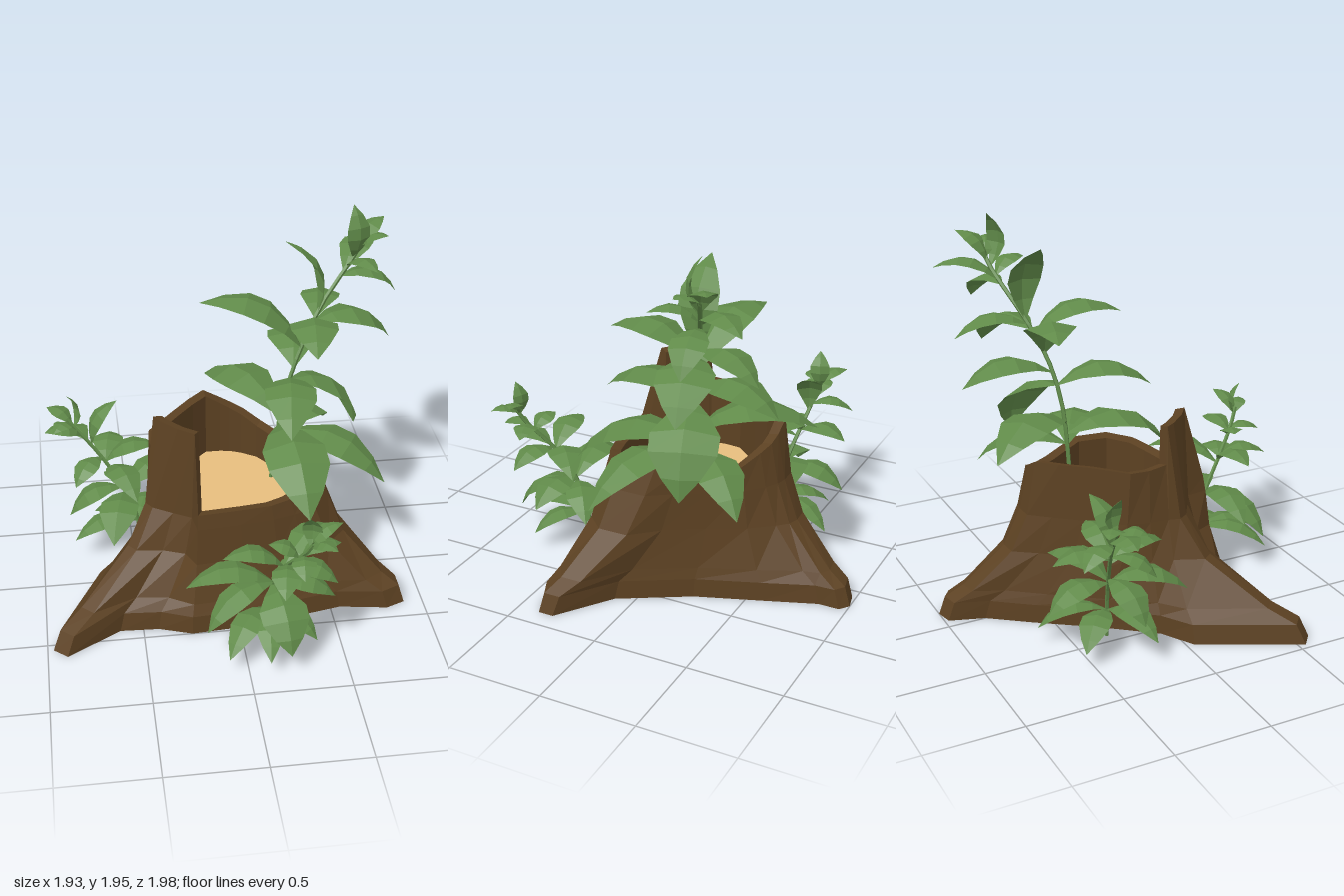
import * as THREE from 'three';

const bark = new THREE.MeshStandardMaterial({ color: 0x5c4122, flatShading: true });
bark.name = 'bark brown';
const wood = new THREE.MeshStandardMaterial({ color: 0xebc180, flatShading: true });
wood.name = 'cut wood tan';
const green = new THREE.MeshStandardMaterial({ color: 0x608a49, flatShading: true, side: THREE.DoubleSide });
green.name = 'leaf green';

// Stations around the stump: ground x, z, then rim x, z, y
const STATIONS = [
  [-0.97, 0.54, -0.39, 0.05, 1.07], [-0.90, 0.60, -0.36, 0.10, 1.07], [-0.62, 0.43, -0.28, 0.19, 1.07],
  [-0.42, 0.44, -0.20, 0.25, 1.07], [-0.25, 0.50, -0.20, 0.37, 0.66], [0.02, 0.48, 0.02, 0.35, 0.66],
  [0.30, 0.43, 0.18, 0.33, 0.66], [0.55, 0.38, 0.28, 0.30, 0.67], [0.80, 0.42, 0.38, 0.25, 0.69],
  [0.90, 0.38, 0.47, 0.13, 0.71], [0.90, 0.30, 0.47, -0.06, 0.72], [0.62, 0.10, 0.41, -0.17, 0.71],
  [0.42, -0.25, 0.33, -0.30, 0.70], [0.30, -0.58, 0.24, -0.43, 0.71], [0.20, -0.85, 0.15, -0.49, 0.76],
  [0.20, -0.96, 0.08, -0.52, 0.79], [0.15, -1.00, 0.02, -0.53, 0.82], [0.06, -0.98, -0.07, -0.53, 0.87],
  [0.00, -0.80, -0.16, -0.44, 0.87], [-0.15, -0.60, -0.26, -0.32, 0.87], [-0.36, -0.30, -0.40, -0.16, 0.86],
  [-0.55, -0.06, -0.41, -0.06, 0.86], [-0.72, 0.04, -0.40, 0.04, 0.87],
];
// Root flare: inward fraction, height
const FLARE = [[0, 0.01], [0.07, 0.11], [0.27, 0.17], [0.72, 0.38], [0.9, 0.58]];
const BASE_Y = 0.01, FLOOR_Y = 0.5;
const inset = (x, z) => [x * 0.88, -0.08 + (z + 0.08) * 0.88];

function skin(rings) {
  const n = rings[0].length, pos = [], idx = [];
  rings.forEach(r => r.forEach(p => pos.push(...p)));
  for (let k = 0; k < rings.length - 1; k++) {
    for (let j = 0; j < n; j++) {
      const a = k * n + j, b = k * n + (j + 1) % n;
      idx.push(a, b, b + n, a, b + n, a + n);
    }
  }
  const g = new THREE.BufferGeometry();
  g.setAttribute('position', new THREE.Float32BufferAttribute(pos, 3));
  g.setIndex(idx);
  g.computeVertexNormals();
  return g;
}

function flat(points, y, up) {
  const s = up ? -1 : 1;
  const g = new THREE.ShapeGeometry(new THREE.Shape(points.map(([x, z]) => new THREE.Vector2(x, s * z))));
  return g.rotateX(s * Math.PI / 2).translate(0, y, 0);
}

function add(group, name, geometry, material) {
  const m = new THREE.Mesh(geometry, material);
  m.name = name;
  group.add(m);
}

function makeStump() {
  const g = new THREE.Group();
  g.name = 'stump';
  // Flared outside, thick rim and hollow inside
  const rings = FLARE.map(([u, y]) => STATIONS.map(([bx, bz, rx, rz]) =>
    [bx + (rx - bx) * u, y, bz + (rz - bz) * u]));
  rings.push(STATIONS.map(([, , x, z, y]) => [x, y, z]));
  const inner = STATIONS.map(s => inset(s[2], s[3]));
  rings.push(inner.map(([x, z], i) => [x, STATIONS[i][4] - 0.01, z]));
  rings.push(inner.map(([x, z]) => [x, FLOOR_Y, z]));
  add(g, 'barkWall', skin(rings), bark);
  add(g, 'underside', flat(STATIONS, BASE_Y, false), bark);
  add(g, 'cutWood', flat(inner, FLOOR_Y, true), wood);
  return g;
}

// Leaf with a soft midrib fold, bowed outwards so that its tip bends over
const LEAF = [[0, 0.06], [0.18, 0.58], [0.4, 0.98], [0.62, 0.96], [0.84, 0.55], [1, 0]];
function leafGeometry(base, tip, width) {
  const dir = tip.clone().sub(base);
  const side = new THREE.Vector3(dir.z, 0, -dir.x).normalize();
  const bow = dir.clone().cross(side).multiplyScalar(0.5);
  const mid = base.clone().lerp(tip, 0.5).add(bow);
  const curve = new THREE.QuadraticBezierCurve3(base, mid, tip);
  const pos = [], idx = [];
  LEAF.forEach(([t, w], i) => {
    const p = curve.getPoint(t), droop = curve.getTangent(t).cross(side).multiplyScalar(-w * width * 0.13);
    for (const s of [1, 0, -1]) {
      const q = p.clone().addScaledVector(side, s * w * width / 2);
      if (s) q.add(droop);
      pos.push(q.x, q.y, q.z);
    }
    if (i) {
      for (const k of [0, 1]) {
        const a = (i - 1) * 3 + k;
        idx.push(a, a + 1, a + 4, a, a + 4, a + 3);
      }
    }
  });
  const g = new THREE.BufferGeometry();
  g.setAttribute('position', new THREE.Float32BufferAttribute(pos, 3));
  g.setIndex(idx);
  g.computeVertexNormals();
  return g;
}

// Leaves: place on the stem (0 to 1), tip x, y, z, width
function makePlant(name, path, radius, leaves) {
  const g = new THREE.Group();
  g.name = name;
  const stem = new THREE.CatmullRomCurve3(path.map(p => new THREE.Vector3(...p)));
  add(g, 'stem', new THREE.TubeGeometry(stem, 12, radius, 5), green);
  for (const [t, x, y, z, w] of leaves) {
    add(g, 'leaf', leafGeometry(stem.getPointAt(t), new THREE.Vector3(x, y, z), w), green);
  }
  return g;
}

export function createModel() {
  const model = new THREE.Group();
  model.name = 'stumpWithPlants';
  model.add(makeStump());

  model.add(makePlant('tallPlant',
    [[0.26, 0.5, -0.18], [0.33, 1.0, -0.2], [0.42, 1.25, -0.25], [0.55, 1.47, -0.34], [0.7, 1.65, -0.42], [0.77, 1.75, -0.45]],
    0.012, [
      [0.23, 0.36, 0.63, 0.45, 0.34], [0.19, 0.82, 0.61, 0.12, 0.27], [0.27, -0.04, 0.87, -0.72, 0.3],
      [0.19, 0.62, 0.62, -0.58, 0.25], [0.42, 0.74, 0.72, -0.33, 0.35], [0.42, 0.28, 1.03, 0.31, 0.27],
      [0.47, 0.45, 1.11, -0.71, 0.28], [0.55, -0.1, 1.47, -0.4, 0.27],
      [0.65, 0.93, 1.2, -0.41, 0.28], [0.63, 0.42, 1.42, 0.2, 0.25], [0.67, 0.62, 1.33, -0.68, 0.21],
      [0.69, 0.33, 1.84, -0.3, 0.2], [0.85, 0.96, 1.45, -0.45, 0.18], [0.87, 0.86, 1.66, -0.7, 0.17],
      [0.89, 0.8, 1.68, -0.2, 0.13], [0.93, 0.71, 1.96, -0.44, 0.14], [0.95, 0.9, 1.84, -0.55, 0.14],
      [0.97, 0.89, 1.8, -0.38, 0.13],
    ]));

  model.add(makePlant('frontPlant',
    [[0.14, 0.02, 0.5], [0.14, 0.25, 0.55], [0.16, 0.42, 0.61], [0.2, 0.57, 0.71], [0.27, 0.71, 0.82], [0.3, 0.79, 0.86]],
    0.011, [
      [0.18, -0.1, 0.1, 0.84, 0.16], [0.18, 0.36, 0.1, 0.74, 0.15], [0.18, 0.1, 0.11, 0.9, 0.15],
      [0.42, -0.29, 0.37, 0.58, 0.19], [0.4, 0.2, 0.16, 0.92, 0.25], [0.42, 0.46, 0.31, 0.66, 0.19],
      [0.4, 0.42, 0.27, 0.38, 0.17], [0.42, -0.2, 0.22, 0.76, 0.18], [0.62, 0.5, 0.56, 0.4, 0.18],
      [0.64, -0.12, 0.62, 0.7, 0.16], [0.66, 0.44, 0.5, 0.8, 0.16], [0.68, 0.15, 0.55, 0.97, 0.15],
      [0.82, 0.1, 0.72, 0.74, 0.13], [0.84, 0.46, 0.7, 0.74, 0.13], [0.86, 0.24, 0.66, 0.98, 0.12],
      [0.96, 0.28, 0.94, 0.87, 0.1], [0.96, 0.4, 0.8, 0.95, 0.1], [0.96, 0.45, 0.86, 0.8, 0.1],
    ]));

  model.add(makePlant('backPlant',
    [[-0.45, 0.02, -0.32], [-0.48, 0.25, -0.33], [-0.56, 0.43, -0.36], [-0.67, 0.6, -0.4], [-0.78, 0.74, -0.43], [-0.82, 0.79, -0.44]],
    0.011, [
      [0.18, -0.82, 0.14, -0.22, 0.16], [0.18, -0.7, 0.1, -0.55, 0.16], [0.18, -0.36, 0.1, -0.66, 0.15],
      [0.4, -0.62, 0.28, 0.05, 0.21], [0.42, -0.2, 0.42, -0.53, 0.2], [0.4, -0.55, 0.27, -0.68, 0.2],
      [0.44, -0.84, 0.26, -0.3, 0.18], [0.6, -0.48, 0.5, -0.02, 0.17], [0.64, -0.34, 0.63, -0.38, 0.17],
      [0.64, -0.58, 0.55, -0.67, 0.17], [0.68, -0.8, 0.49, -0.22, 0.14], [0.78, -0.55, 0.88, -0.46, 0.14],
      [0.82, -0.83, 0.62, -0.62, 0.13], [0.86, -0.95, 0.74, -0.4, 0.15], [0.94, -0.82, 0.95, -0.42, 0.11],
      [0.96, -0.93, 0.82, -0.54, 0.11], [0.96, -0.9, 0.78, -0.32, 0.11],
    ]));
  return model;
}
